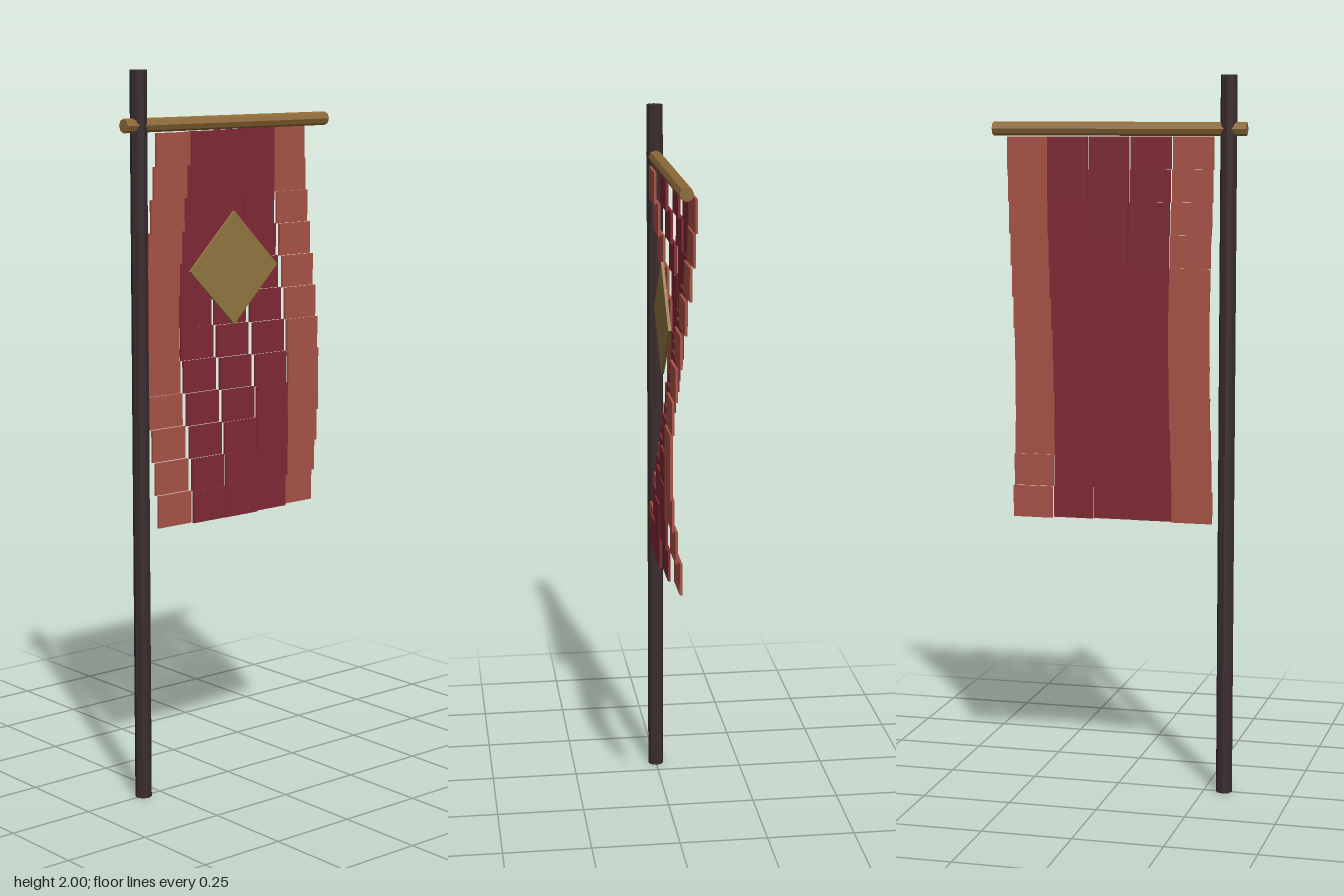
import * as THREE from 'three';

function material(name, color) {
  const m = new THREE.MeshStandardMaterial({ color, flatShading: true });
  m.name = name;
  return m;
}

export function createModel() {
  const group = new THREE.Group();
  const darkWood = material('dark wood', 0x3a2c2e);
  const brass = material('brass', 0x8f6a38);
  const crimson = material('crimson cloth', 0x802a34);
  const rust = material('rust cloth', 0xa95347);
  const gold = material('gold emblem', 0x927641);

  const add = (name, geometry, mat, x, y, z, parent = group) => {
    const mesh = new THREE.Mesh(geometry, mat);
    mesh.name = name;
    mesh.position.set(x, y, z);
    parent.add(mesh);
    return mesh;
  };

  // upright pole and crossbar
  add('pole', new THREE.CylinderGeometry(0.023, 0.023, 2, 8), darkWood, -0.308, 1, 0);
  add('crossbar', new THREE.CylinderGeometry(0.019, 0.019, 0.716, 8), brass, 0, 1.855, 0)
    .rotation.z = Math.PI / 2;

  // rippling banner of thin panels, with lighter outer columns
  const banner = new THREE.Group();
  banner.name = 'banner';
  group.add(banner);
  const columns = 5, rows = 12, width = 0.1146, height = 0.0893;
  const panel = new THREE.BoxGeometry(width, height, 0.007);
  for (let c = 0; c < columns; c++) {
    const border = c === 0 || c === columns - 1;
    for (let r = 0; r < rows; r++) {
      const z = -0.033 * Math.cos((r - 5.5 + 1.5 * c) * Math.PI / 8);
      add(border ? 'borderPanel' : 'centrePanel', panel, border ? rust : crimson,
        0.022 + (c - 2) * width, 1.834 - (r + 0.5) * height, z, banner);
    }
  }

  // diamond emblem on the front
  add('emblem', new THREE.BoxGeometry(0.221, 0.221, 0.008), gold, 0.006, 1.458, 0.018)
    .rotation.z = Math.PI / 4;

  return group;
}
